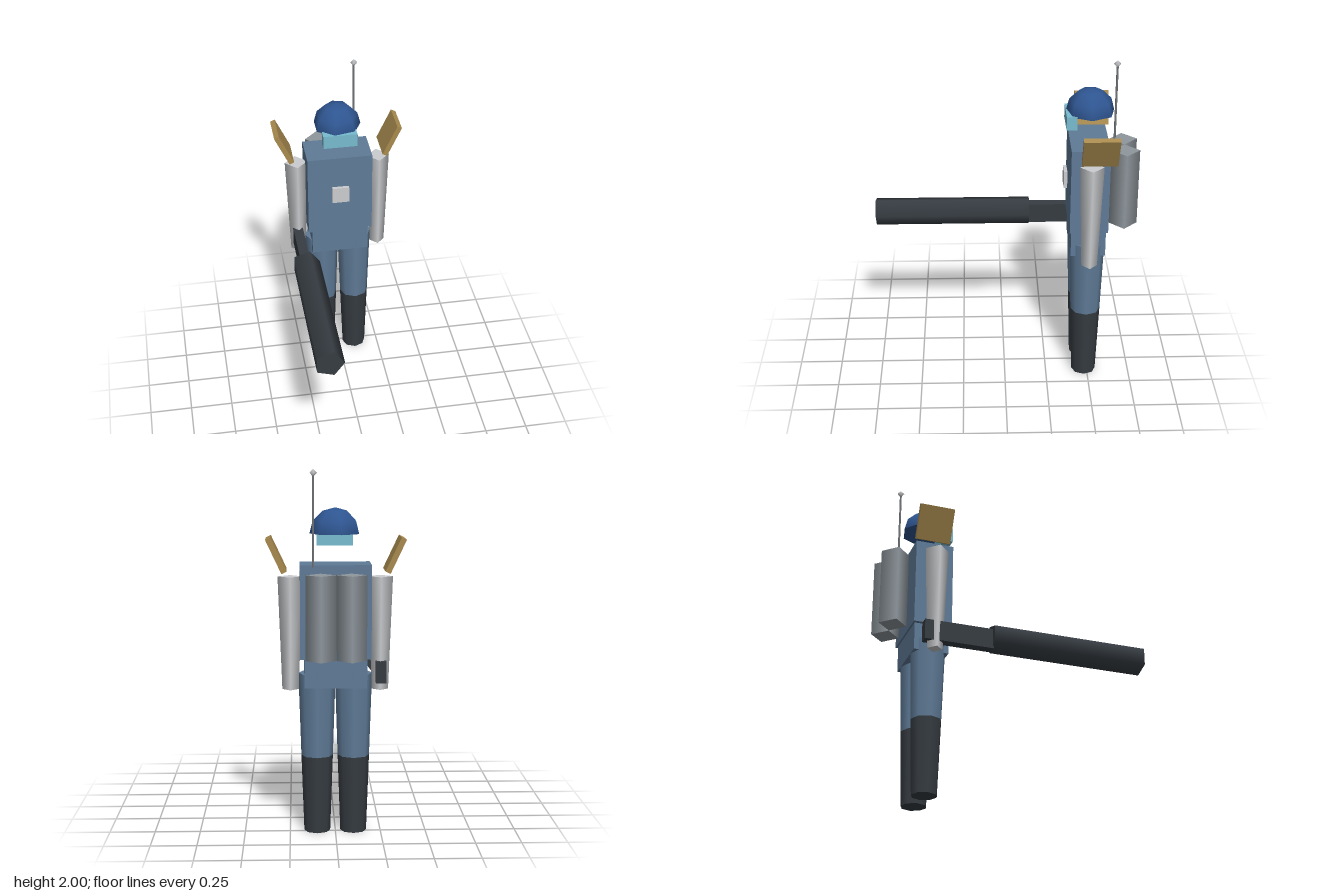
import * as THREE from 'three';

const material = (name, color) => {
  const m = new THREE.MeshStandardMaterial({ color });
  m.name = name;
  return m;
};

export function createModel() {
  const model = new THREE.Group();
  model.name = 'armouredSoldier';

  const uniform = material('blueGreyUniform', 0x5f7b97);
  const dark = material('charcoal', 0x363c42);
  const silver = material('lightSilver', 0xcacccf);
  const steel = material('steelGrey', 0x8f979d);
  const tan = material('tanArmour', 0xa88a4e);
  const navy = material('helmetBlue', 0x2f5692);
  const cyan = material('visorCyan', 0x78bccf);
  const wire = material('antennaGrey', 0x74787b);

  const add = (name, geometry, mat, x, y, z) => {
    const mesh = new THREE.Mesh(geometry, mat);
    mesh.name = name;
    mesh.position.set(x, y, z);
    model.add(mesh);
    return mesh;
  };
  const box = (name, mat, w, h, d, x, y, z) =>
    add(name, new THREE.BoxGeometry(w, h, d), mat, x, y, z);
  // Upright tapered post between heights y0 and y1
  const post = (name, mat, r0, r1, y0, y1, sides, x, z) =>
    add(name, new THREE.CylinderGeometry(r1, r0, y1 - y0, sides), mat, x, (y0 + y1) / 2, z);

  // Body
  box('torso', uniform, 0.385, 0.51, 0.22, 0, 1.235, -0.48);
  box('pelvis', uniform, 0.34, 0.16, 0.2, 0, 0.9, -0.48);
  box('chestPlate', silver, 0.1, 0.1, 0.02, 0, 1.25, -0.35);

  // Mirrored limbs, shoulder pads and back tanks
  for (const [side, s] of [['left', 1], ['right', -1]]) {
    post(side + 'Boot', dark, 0.072, 0.087, 0, 0.43, 8, s * 0.1, -0.48);
    post(side + 'Leg', uniform, 0.087, 0.102, 0.43, 0.89, 8, s * 0.1, -0.48);
    post(side + 'Arm', silver, 0.045, 0.068, 0.8, 1.42, 4, s * 0.245, -0.482);
    post(side + 'Tank', steel, 0.081, 0.081, 0.99, 1.447, 4, s * 0.082, -0.684);
    const pad = box(side + 'ShoulderPad', tan, 0.03, 0.2, 0.2, s * 0.319, 1.543, -0.52);
    pad.rotation.z = -s * 0.44;
  }

  // Helmet dome with a flat underside, and the visor
  const dome = new THREE.SphereGeometry(0.14, 7, 3, 0, Math.PI * 2, 0, Math.PI / 2);
  add('helmet', dome.rotateY(Math.PI), navy, 0, 1.652, -0.484);
  add('helmetBase', new THREE.CircleGeometry(0.14, 7).rotateX(Math.PI / 2), navy, 0, 1.652, -0.484);
  box('visor', cyan, 0.2, 0.08, 0.06, 0, 1.62, -0.375);

  // Antenna
  post('antenna', wire, 0.006, 0.006, 1.48, 1.98, 6, 0.122, -0.612);
  add('antennaTip', new THREE.SphereGeometry(0.021, 5, 2), silver, 0.122, 1.979, -0.612);

  // Heavy weapon held in the right hand
  const barrel = new THREE.CylinderGeometry(0.0845, 0.0845, 0.917, 5, 1, false, Math.PI / 2);
  add('weaponBarrel', barrel.rotateX(Math.PI / 2), dark, -0.243, 0.918, 0.304);
  box('weaponStock', dark, 0.058, 0.118, 0.4, -0.248, 0.901, -0.35);

  return model;
}
